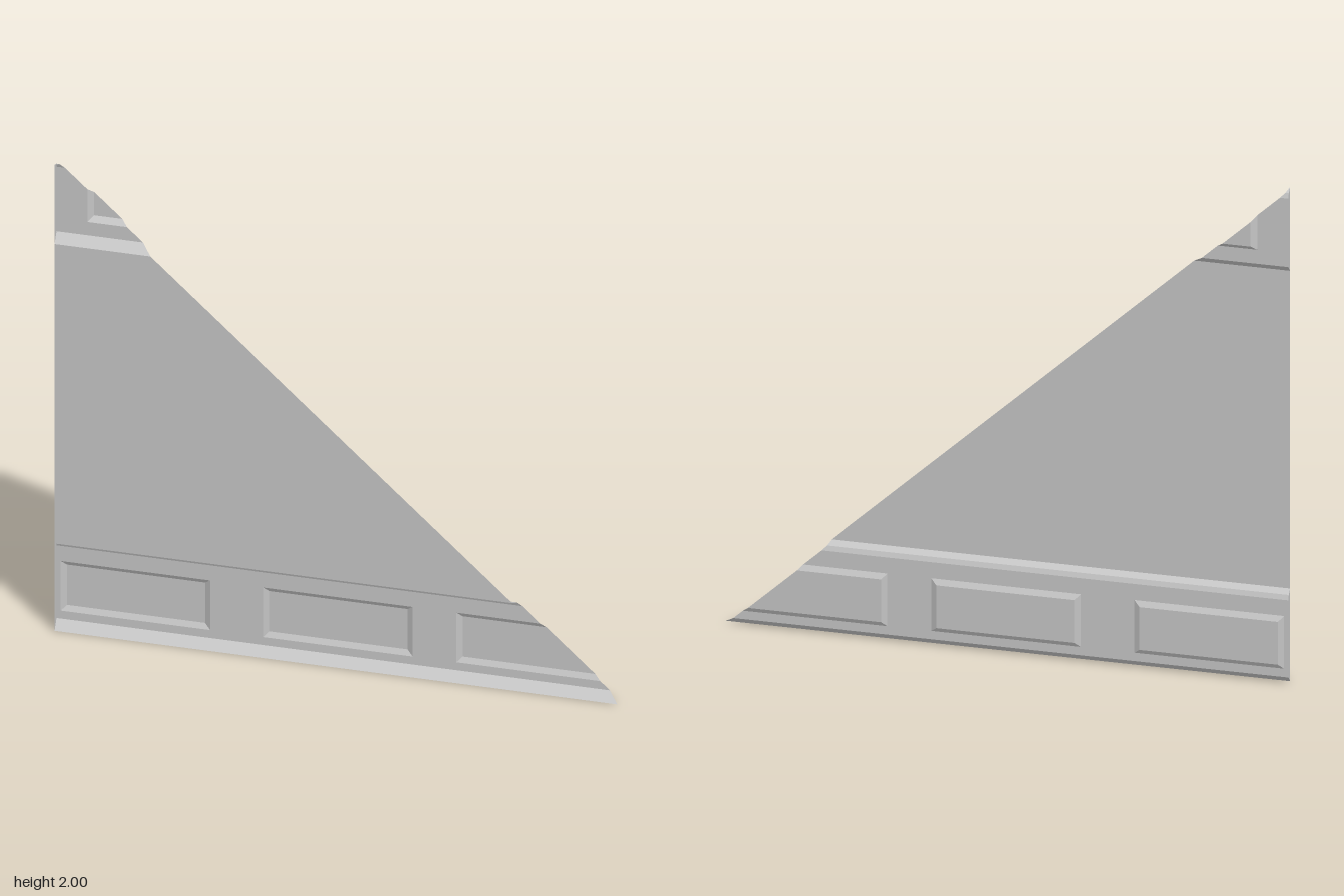
import * as THREE from 'three';

const FRONT = 0.024, BACK = -0.007;

// keep only the part of a polygon under the sloping edge x + y = 1
function clip(poly) {
  const out = [];
  poly.forEach((a, i) => {
    const b = poly[(i + 1) % poly.length];
    const da = 1 - a[0] - a[1], db = 1 - b[0] - b[1];
    if (da >= 0) out.push(a);
    if (da * db < 0) {
      const t = da / (da - db);
      out.push(a.map((v, k) => v + (b[k] - v) * t));
    }
  });
  return out;
}

// flat faces from planar polygons, each cut by the sloping edge
function facesMesh(name, polys, material) {
  const pos = [];
  for (const poly of polys) {
    const p = clip(poly);
    for (let i = 1; i + 1 < p.length; i++) pos.push(...p[0], ...p[i], ...p[i + 1]);
  }
  const g = new THREE.BufferGeometry();
  g.setAttribute('position', new THREE.Float32BufferAttribute(pos, 3));
  g.computeVertexNormals();
  const mesh = new THREE.Mesh(g, material);
  mesh.name = name;
  return mesh;
}

// rectangle seen from the back; z may differ between lower and upper edge
const rect = (x0, x1, y0, y1, z0, z1 = z0) =>
  [[x0, y0, z0], [x0, y1, z1], [x1, y1, z1], [x1, y0, z0]];

// raised panel: plateau with four bevels
function panelFaces([x0, x1, y0, y1], z, inset) {
  const ring = (d, h) => rect(x0 + d, x1 - d, y0 + d, y1 - d, h);
  const o = ring(0, BACK), n = ring(inset, z);
  const bevels = o.map((p, i) => [p, o[(i + 1) % 4], n[(i + 1) % 4], n[i]]);
  return [n, ...bevels];
}

// hollow moulding band with an end cap and a row of raised panels
function band(name, y0, y1, panels, panelZ, material) {
  const group = new THREE.Group();
  group.name = name;
  const profile = [[y0, FRONT], [y0 + 0.033, BACK], [y1 - 0.03, BACK], [y1 - 0.012, 0], [y1, FRONT]];
  const shell = [];
  profile.slice(1).forEach(([yb, zb], i) => {
    const [ya, za] = profile[i];
    if (i !== 1) shell.push(rect(-1, 1, ya, yb, za, zb));
  });
  // flat back, left open where the panels sit
  const [pb, pt] = [panels[0][2], panels[0][3]];
  const lo = profile[1][0], hi = profile[2][0];
  shell.push(rect(-1, 1, lo, pb, BACK));
  if (hi > pt) shell.push(rect(-1, 1, pt, hi, BACK));
  let x = -1;
  for (const p of panels) {
    shell.push(rect(x, p[0], pb, Math.min(pt, hi), BACK));
    x = p[1];
  }
  if (x < 1) shell.push(rect(x, 1, pb, Math.min(pt, hi), BACK));
  // end cap
  shell.push(profile.map(([y, z]) => [-1, y, z]));
  group.add(facesMesh(name + 'Shell', shell, material));
  panels.forEach((p, i) =>
    group.add(facesMesh(name + 'Panel' + (i + 1), panelFaces(p, panelZ, 0.02), material)));
  return group;
}

export function createModel() {
  const grey = new THREE.MeshStandardMaterial({ color: 0xc4c4c4, side: THREE.DoubleSide });
  grey.name = 'plain grey';
  const model = new THREE.Group();
  model.name = 'triangularWall';

  // thin wall sheet between the two bands
  model.add(facesMesh('wallSheet', [rect(-1, 1, 0.375, 1.66, FRONT)], grey));

  // lower band with three panels, the last one cut by the slope
  const lower = [[-0.985, -0.455], [-0.265, 0.265], [0.42, 0.95]].map(([a, b]) => [a, b, 0.067, 0.28]);
  model.add(band('lowerBand', 0, 0.375, lower, -0.018, grey));

  // upper corner band with one cut panel
  model.add(band('upperBand', 1.66, 2, [[-0.89, -0.4, 1.75, 2.2]], -0.024, grey));
  return model;
}
